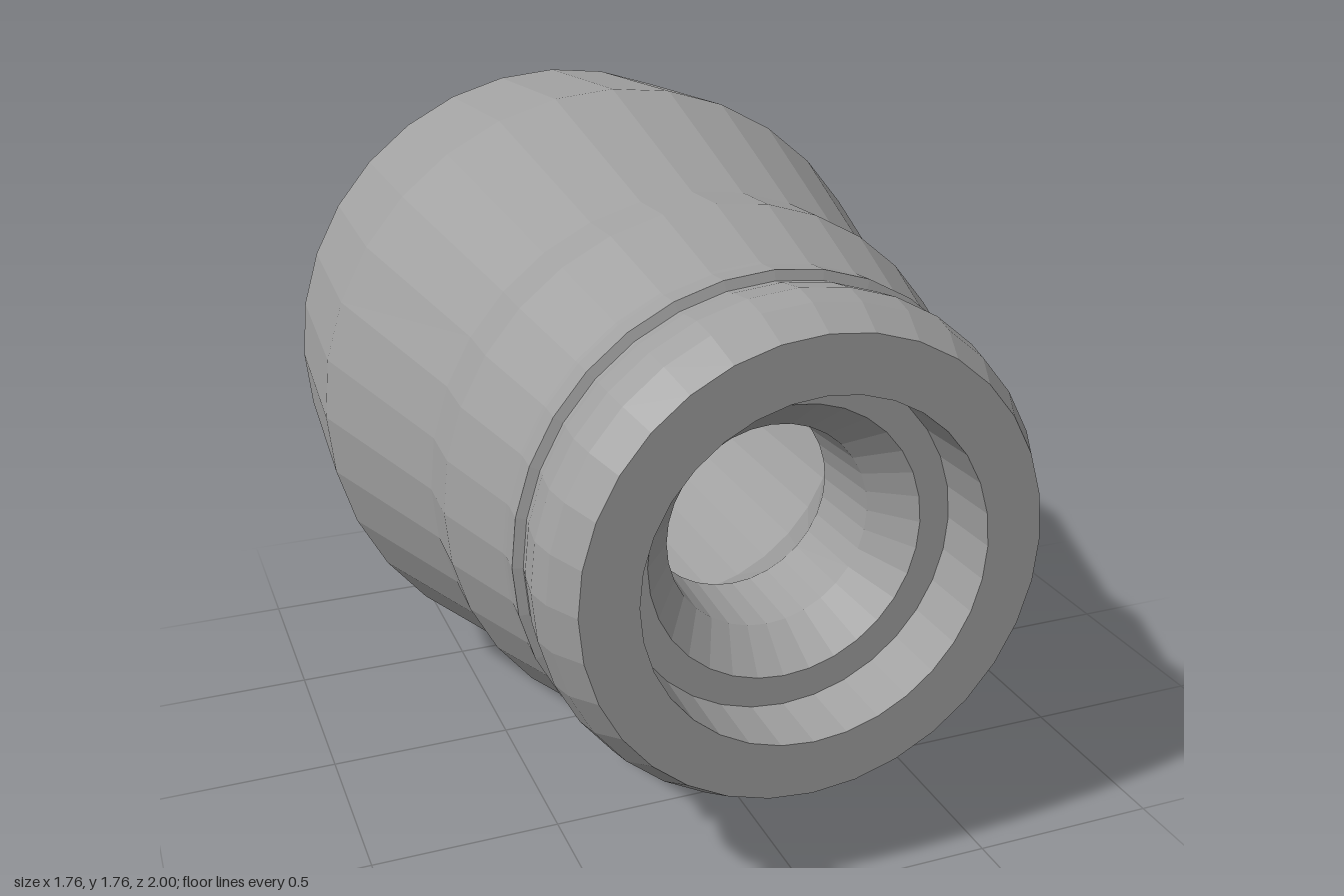
import * as THREE from 'three';

const SEGMENTS = 32;
const RADIUS = 0.882; // widest radius, also the height of the axis

export function createModel() {
  const group = new THREE.Group();
  group.name = 'steppedSleeve';
  const grey = new THREE.MeshStandardMaterial({ color: 0xa0a0a0, flatShading: true });
  grey.name = 'grey';

  // Turns a [radius, z] profile around the horizontal z axis
  const turn = (name, profile) => {
    const points = profile.map(([r, z]) => new THREE.Vector2(r, z));
    const geometry = new THREE.LatheGeometry(points, SEGMENTS);
    geometry.rotateX(Math.PI / 2);
    const mesh = new THREE.Mesh(geometry, grey);
    mesh.name = name;
    mesh.position.y = RADIUS;
    group.add(mesh);
  };

  // Flat ring at the back and the wide tapering body
  turn('backFace', [[0.49, -1], [0.845, -1]]);
  turn('body', [[0.845, -1], [RADIUS, -0.42], [0.722, 0.19]]);

  // Straight collar, shoulder and band in front of the body
  turn('collar', [[0.722, 0.19], [0.728, 0.35], [0.652, 0.62], [0.65, 0.635], [0.655, 0.705]]);

  // Narrow groove and rounded front lip
  turn('groove', [[0.655, 0.705], [0.63, 0.713], [0.63, 0.722]]);
  turn('lip', [[0.63, 0.722], [0.637, 0.75], [0.65, 0.84], [0.636, 0.91], [0.59, 1]]);
  turn('frontFace', [[0.59, 1], [0.445, 1]]);

  // Front recess, funnel and narrow throat
  turn('frontRecess', [[0.445, 1], [0.44, 0.82], [0.36, 0.82]]);
  turn('funnel', [[0.36, 0.82], [0.27, 0.71]]);
  turn('throat', [[0.27, 0.71], [0.26, 0.49]]);

  // Flare to the wide rear bore
  turn('flare', [[0.26, 0.49], [0.49, 0.1]]);
  turn('rearBore', [[0.49, 0.1], [0.49, -1]]);

  return group;
}
